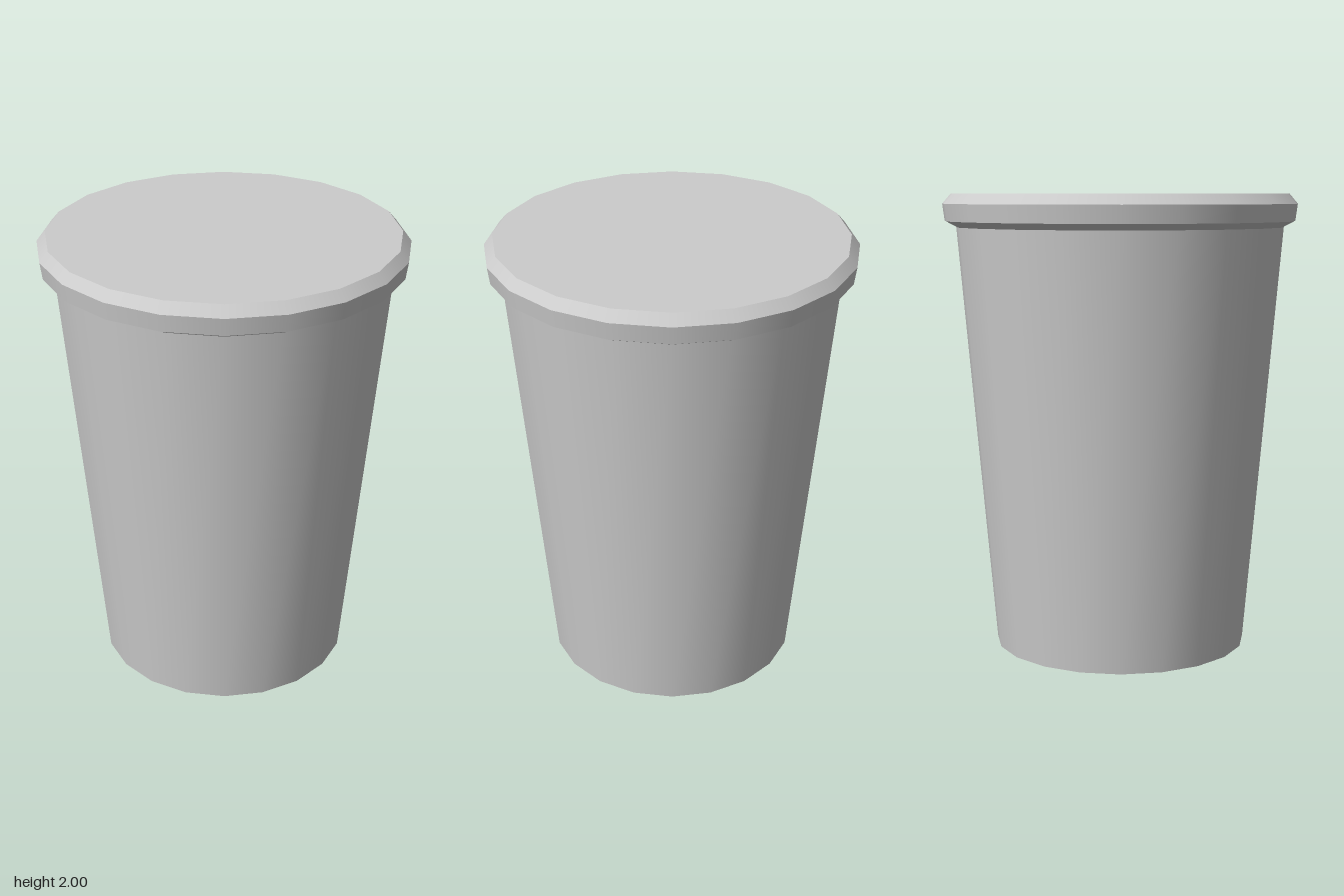
import * as THREE from 'three';

const SIDES = 20;
const material = new THREE.MeshStandardMaterial({ color: 0xcccccc });

// Smooth-sided conical band between two heights
function band(name, rBottom, yBottom, rTop, yTop) {
  const height = yTop - yBottom;
  const geometry = new THREE.CylinderGeometry(rTop, rBottom, height, SIDES, 1, true);
  geometry.translate(0, yBottom + height / 2, 0);
  const mesh = new THREE.Mesh(geometry, material);
  mesh.name = name;
  return mesh;
}

// Flat disc facing up (1) or down (-1)
function disc(name, radius, y, facing) {
  // start angle puts a corner on each axis
  const geometry = new THREE.CircleGeometry(radius, SIDES);
  geometry.rotateX(-facing * Math.PI / 2);
  geometry.translate(0, y, 0);
  const mesh = new THREE.Mesh(geometry, material);
  mesh.name = name;
  return mesh;
}

export function createModel() {
  const model = new THREE.Group();
  model.name = 'lidded cup';

  // Tapered cup
  const cup = new THREE.Group();
  cup.name = 'cup';
  cup.add(
    disc('cupBase', 0.56, 0, -1),
    band('cupWall', 0.56, 0, 0.72, 1.857),
  );

  // Lid: undercut, rim, bevel and flat top
  const lid = new THREE.Group();
  lid.name = 'lid';
  lid.add(
    band('lidUndercut', 0.72, 1.857, 0.77, 1.883),
    band('lidRim', 0.77, 1.883, 0.78, 1.957),
    band('lidBevel', 0.78, 1.957, 0.743, 2),
    disc('lidTop', 0.743, 2, 1),
  );

  model.add(cup, lid);
  return model;
}
